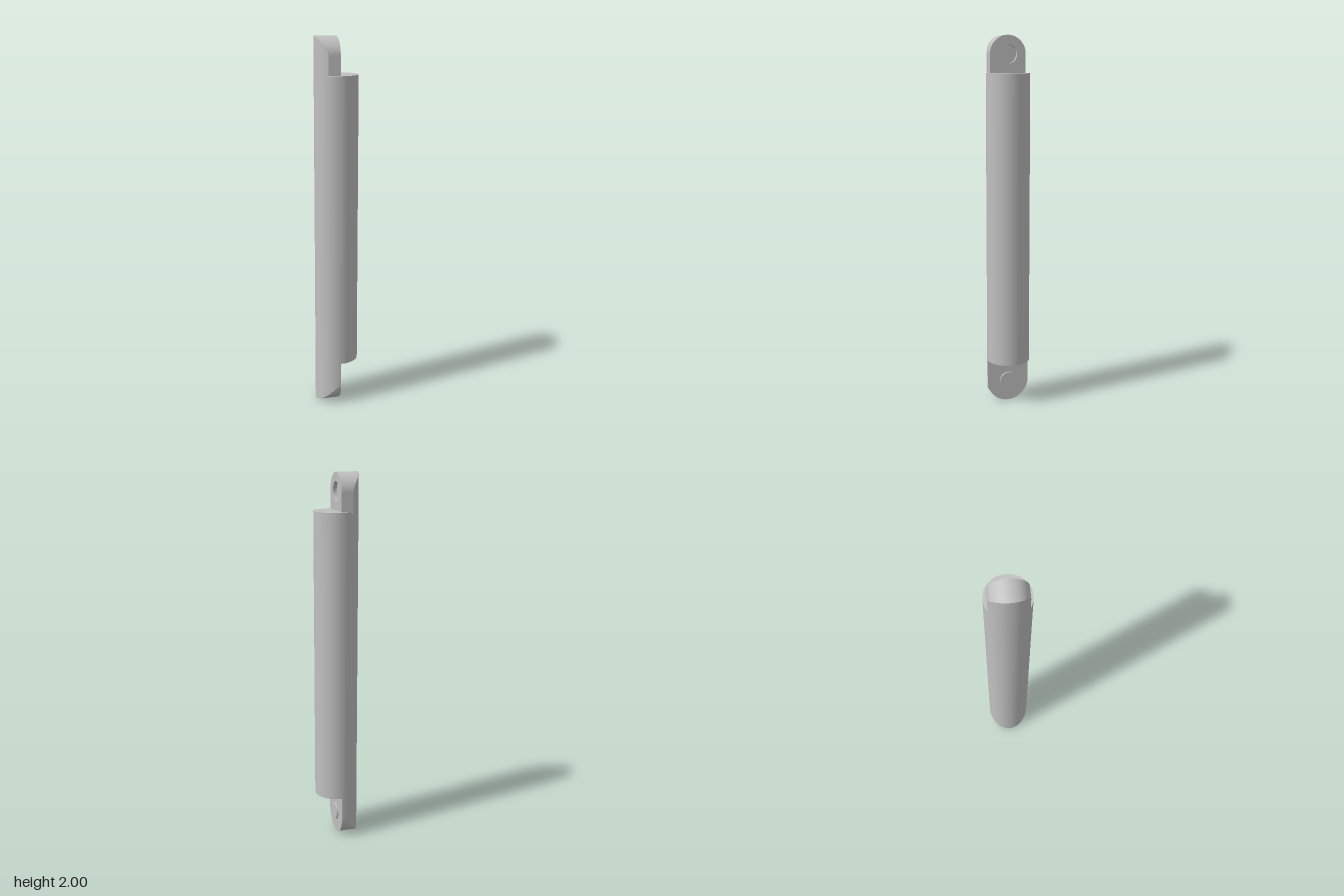
import * as THREE from 'three';
import { ParametricGeometry } from 'three/addons/geometries/ParametricGeometry.js';

const R = 0.116; // barrel radius
const steel = new THREE.MeshStandardMaterial({ color: 0xc0c0c0, side: THREE.DoubleSide });
steel.name = 'plain steel';

function add(group, geometry, name) {
  const mesh = new THREE.Mesh(geometry, steel);
  mesh.name = name;
  group.add(mesh);
  return mesh;
}

// Half-round lug: flat on x = 0, its back following the barrel, its end rounded.
// dir is +1 for a lug pointing up and -1 for one pointing down.
function makeLug(name, dir, baseY, centreY, w, holeRadius, recessed) {
  const lug = new THREE.Group();
  lug.name = name;
  const backX = (z) => -Math.sqrt(Math.max(0, R * R - z * z));

  // Back surface, flush with the barrel
  add(lug, new ParametricGeometry((u, v, p) => {
    const a = Math.PI * (dir > 0 ? 1 - u : u);
    const z = w * Math.cos(a);
    const endY = centreY + dir * w * Math.sin(a);
    p.set(backX(z), baseY + (endY - baseY) * v, z);
  }, 48, 4), 'lugBack');

  // Rim: straight side, round end, straight side
  add(lug, new ParametricGeometry((u, v, p) => {
    const t = dir > 0 ? u : 1 - u;
    const a = Math.PI * THREE.MathUtils.clamp((t - 0.1) / 0.8, 0, 1);
    const side = Math.max(0, 0.1 - t, t - 0.9) / 0.1;
    const z = w * Math.cos(a);
    const y = centreY + dir * w * Math.sin(a) + (baseY - centreY) * side;
    p.set(backX(z) * v, y, z);
  }, 60, 2), 'lugRim');

  // Flat face with a round opening
  const shape = new THREE.Shape();
  shape.moveTo(-w, baseY);
  shape.lineTo(-w, centreY);
  shape.absarc(0, centreY, w, Math.PI, 0, dir > 0);
  shape.lineTo(w, baseY);
  shape.closePath();
  const hole = new THREE.Path();
  hole.absarc(0, centreY, holeRadius, 0, Math.PI * 2, true);
  shape.holes.push(hole);
  add(lug, new THREE.ShapeGeometry(shape, 32).rotateY(Math.PI / 2), 'lugFace');

  // Blind pin recess or raised pin boss
  const end = recessed ? -0.02 : 0.009;
  const wall = new THREE.CylinderGeometry(holeRadius, holeRadius, Math.abs(end), 48, 1, true);
  wall.rotateZ(Math.PI / 2).translate(end / 2, centreY, 0);
  add(lug, wall, recessed ? 'recessWall' : 'bossWall');
  const cap = new THREE.CircleGeometry(holeRadius, 48).rotateY(Math.PI / 2);
  add(lug, cap.translate(end, centreY, 0), recessed ? 'recessFloor' : 'bossFace');
  return lug;
}

export function createModel() {
  const model = new THREE.Group();
  model.name = 'linkRod';

  // Main barrel
  const bottom = 0.24, top = 1.805;
  add(model, new THREE.CylinderGeometry(R, R, top - bottom, 64), 'barrel')
    .position.y = (top + bottom) / 2;

  model.add(makeLug('upperLug', 1, top, 1.903, 0.097, 0.05, true));
  model.add(makeLug('lowerLug', -1, bottom, 0.1158, 0.1158, 0.047, false));
  return model;
}
